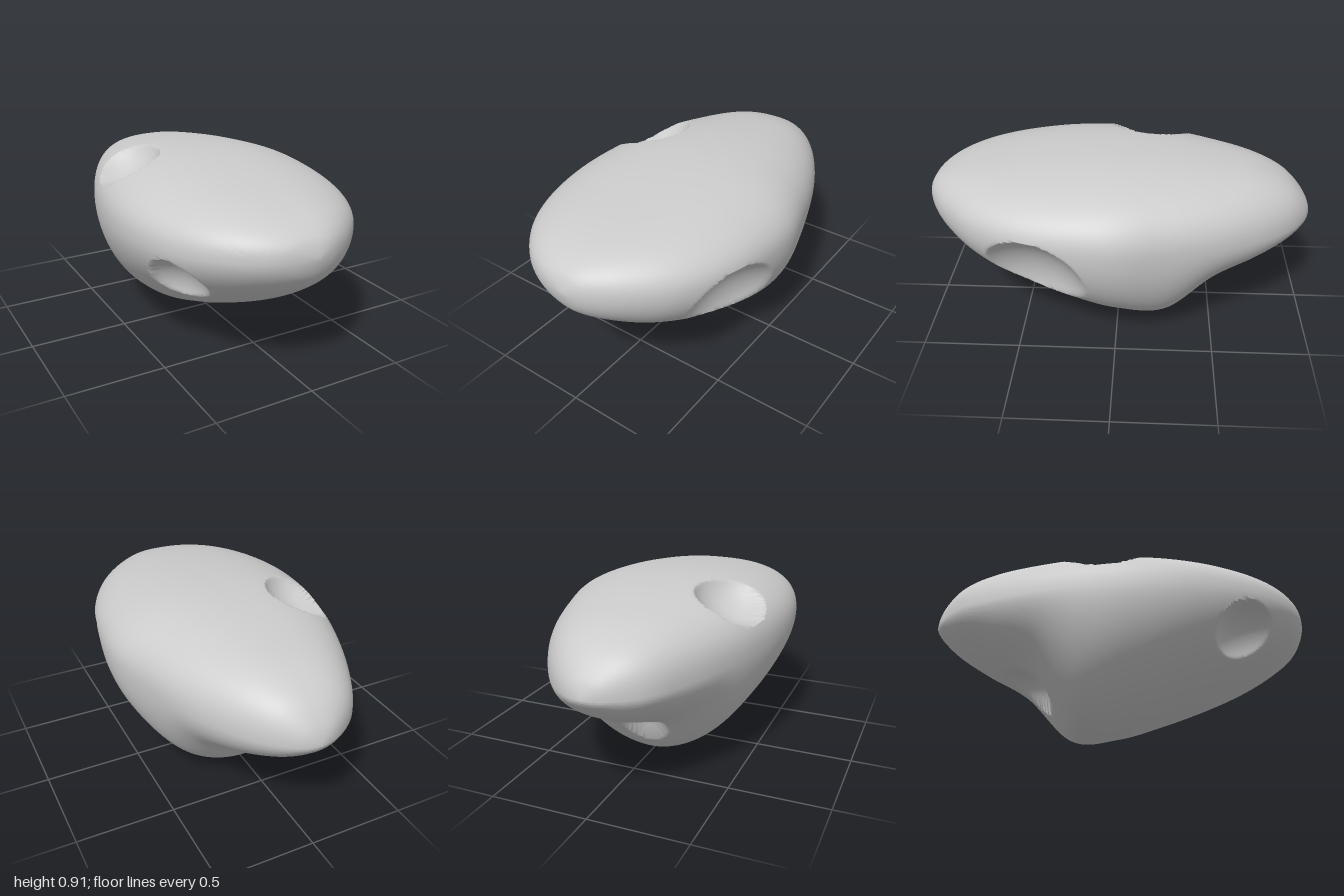
import * as THREE from 'three';
import { toCreasedNormals } from 'three/addons/utils/BufferGeometryUtils.js';

const RINGS = 210, SIDES = 260;

// Smooth profile through values spaced evenly in angle from the front tip to the back tip
const profile = (values) => {
  const curve = new THREE.SplineCurve(values.map((v, i) => new THREE.Vector2(i, v)));
  return (t) => curve.getPoint(t).y;
};
const top = profile([.65, .735, .795, .838, .87, .897, .91, .90, .872, .833, .765, .665, .57]);
const bottom = profile([.65, .545, .45, .345, .24, .135, .04, .01, .245, .352, .44, .52, .57]);
const leftWidth = profile([0, .12, .27, .42, .525, .58, .592, .525, .443, .34, .225, .105, 0]);
const rightWidth = profile([0, .18, .34, .47, .555, .592, .58, .527, .445, .35, .25, .115, 0]);

// Shallow crater bowl from its rim centre, outward direction, rim radius and depth
function crater(rim, outward, radius, depth) {
  const r = (radius * radius + depth * depth) / (2 * depth);
  const c = new THREE.Vector3(...outward).setLength(r - depth).add(new THREE.Vector3(...rim));
  return { c, r };
}
const craters = [
  crater([.485, .475, .35], [.795, -.458, .394], .23, .07),   // left flank
  crater([-.437, .45, .525], [-.71, -.53, .45], .16, .065),   // front right flank
  crater([-.37, .83, -.17], [-.45, .89, -.05], .192, .085),   // top
  crater([-.04, .25, -.475], [-.1, -.72, -.68], .12, .05),    // under the back tip
];

// Distance from the section's middle to the rock surface along direction (dx, dy)
function surfaceDistance(t, z, midY, dx, dy) {
  const w = Math.max(dx > 0 ? leftWidth(t) : rightWidth(t), 1e-4);
  const h = Math.max(dy > 0 ? top(t) - midY : midY - bottom(t), 1e-4);
  const [upper, lower] = dx > 0 ? [2.3, 2.0] : [2.55, 1.8];
  const n = dy > 0 ? upper : lower;
  let d = (Math.abs(dx / w) ** n + Math.abs(dy / h) ** n) ** (-1 / n);
  for (const { c, r } of craters) {
    const ox = c.x, oy = c.y - midY, oz = c.z - z;
    const along = ox * dx + oy * dy;
    const disc = along * along - (ox * ox + oy * oy + oz * oz - r * r);
    if (disc <= 0 || along <= 0) continue;
    d = Math.min(d, Math.max(along - Math.sqrt(disc), .01));
  }
  return d;
}

// Loft of rounded sections from the front tip to the back tip
function rockGeometry() {
  const pos = [0, .65, 1], index = [];
  for (let i = 1; i < RINGS; i++) {
    const t = i / RINGS, z = Math.cos(t * Math.PI), midY = .61 + .04 * z;
    for (let j = 0; j < SIDES; j++) {
      const a = j / SIDES * Math.PI * 2, dx = Math.cos(a), dy = Math.sin(a);
      const d = surfaceDistance(t, z, midY, dx, dy);
      pos.push(dx * d, midY + dy * d, z);
    }
  }
  const last = pos.length / 3;
  pos.push(0, .57, -1);

  const id = (i, j) => 1 + (i - 1) * SIDES + j % SIDES;
  for (let j = 0; j < SIDES; j++) {
    index.push(0, id(1, j), id(1, j + 1));
    for (let i = 1; i < RINGS - 1; i++) {
      const a = id(i, j), b = id(i + 1, j), c = id(i + 1, j + 1), d = id(i, j + 1);
      index.push(a, b, d, b, c, d);
    }
    index.push(id(RINGS - 1, j), last, id(RINGS - 1, j + 1));
  }
  const geo = new THREE.BufferGeometry();
  geo.setAttribute('position', new THREE.Float32BufferAttribute(pos, 3));
  geo.setIndex(index);
  return toCreasedNormals(geo, .8);
}

export function createModel() {
  const group = new THREE.Group();
  group.name = 'asteroid';
  const rock = new THREE.Mesh(rockGeometry(), new THREE.MeshStandardMaterial({ color: 0xcccccc }));
  rock.name = 'crateredRock';
  group.add(rock);
  return group;
}
